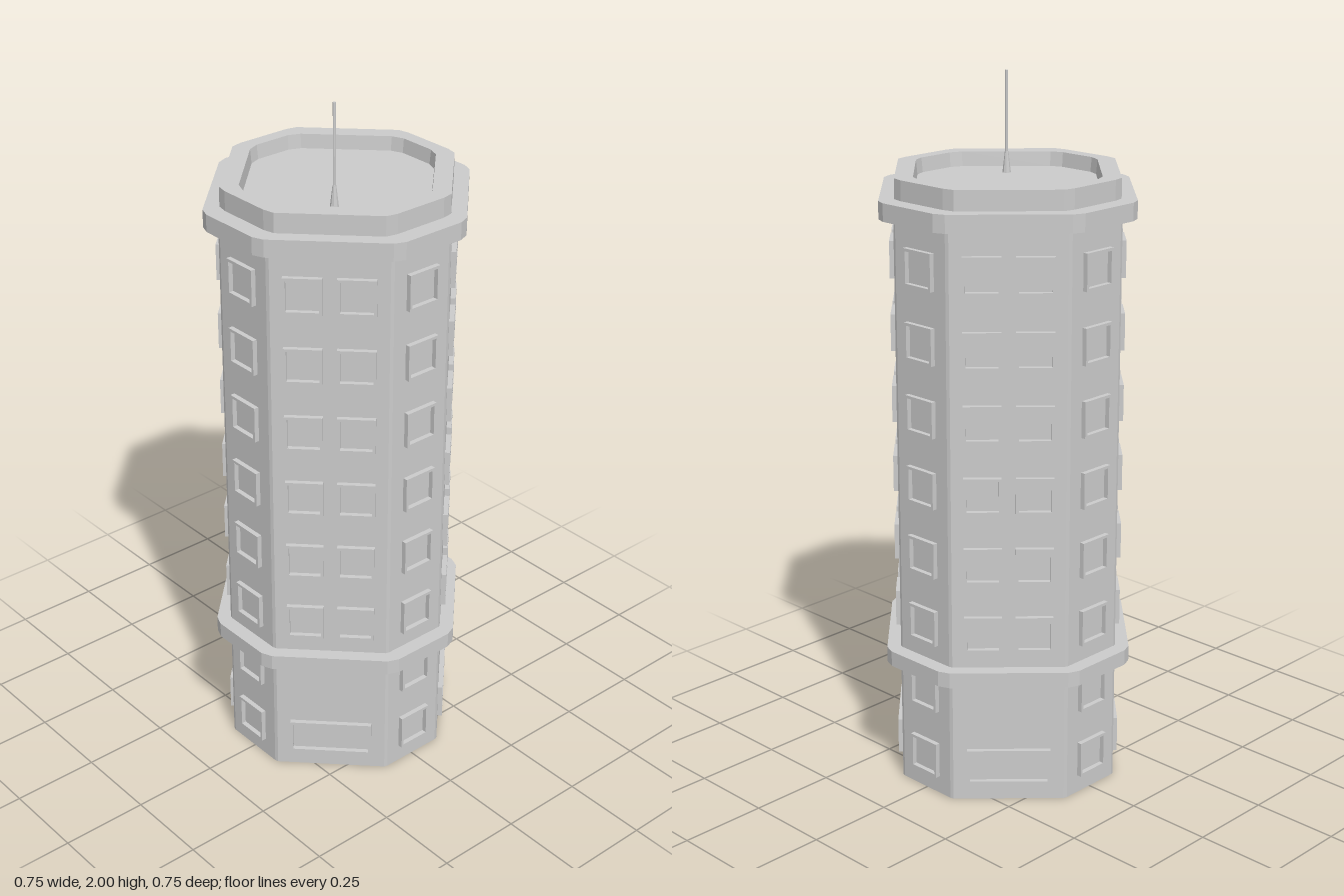
import * as THREE from 'three';

const material = new THREE.MeshStandardMaterial({ color: 0xcccccc, flatShading: true, side: THREE.DoubleSide });

// Octagon with clipped corners: flats at distance r (half width a), corner points (p, q)
function outline(r, a, p, q) {
  const points = [];
  let quarter = [[r, a], [p, q], [q, p], [a, r]];
  for (let i = 0; i < 4; i++) {
    points.push(...quarter);
    quarter = quarter.map(([x, z]) => [-z, x]);
  }
  return points;
}

// Joins outlines at given heights into a faceted skin
function loft(rings) {
  const positions = [];
  for (let i = 0; i + 1 < rings.length; i++) {
    const [lower, y0] = rings[i];
    const [upper, y1] = rings[i + 1];
    for (let j = 0; j < lower.length; j++) {
      const k = (j + 1) % lower.length;
      const a = [lower[j][0], y0, lower[j][1]], b = [upper[j][0], y1, upper[j][1]];
      const c = [upper[k][0], y1, upper[k][1]], d = [lower[k][0], y0, lower[k][1]];
      positions.push(...a, ...b, ...c, ...a, ...c, ...d);
    }
  }
  const geometry = new THREE.BufferGeometry();
  geometry.setAttribute('position', new THREE.Float32BufferAttribute(positions, 3));
  geometry.computeVertexNormals();
  return geometry;
}

// Rectangular window surround, extruded outwards along +z
function frameGeometry(width, height) {
  const bar = 0.008;
  const rectangle = (target, w, h) => {
    target.moveTo(-w / 2, -h / 2);
    target.lineTo(w / 2, -h / 2);
    target.lineTo(w / 2, h / 2);
    target.lineTo(-w / 2, h / 2);
    target.closePath();
    return target;
  };
  const shape = rectangle(new THREE.Shape(), width, height);
  shape.holes.push(rectangle(new THREE.Path(), width - 2 * bar, height - 2 * bar));
  return new THREE.ExtrudeGeometry(shape, { depth: 0.017, bevelEnabled: false }).translate(0, 0, -0.003);
}

export function createModel() {
  const model = new THREE.Group();
  const add = (name, geometry, parent = model) => {
    const mesh = new THREE.Mesh(geometry, material);
    mesh.name = name;
    parent.add(mesh);
    return mesh;
  };

  const wall = outline(0.33, 0.095, 0.327, 0.105);
  const ledge = outline(0.373, 0.095, 0.36, 0.127);
  const parapet = outline(0.322, 0.08, 0.315, 0.113);
  const parapetInner = outline(0.282, 0.055, 0.268, 0.089);
  const roofEdge = outline(0.278, 0.054, 0.264, 0.088);
  const centre = outline(0, 0, 0, 0);

  // Tower walls, open underneath
  add('walls', loft([[wall, 0], [wall, 1.65]]));
  // Projecting band above the ground storeys
  add('lowerLedge', loft([[wall, 0.365], [ledge, 0.365], [ledge, 0.41], [wall, 0.41]]));
  // Cornice, parapet and sunken roof in one stepped skin
  add('cornice', loft([[wall, 1.65], [ledge, 1.65], [ledge, 1.7], [parapet, 1.7]]));
  add('parapet', loft([[parapet, 1.7], [parapet, 1.756], [parapetInner, 1.756], [roofEdge, 1.715]]));
  add('roof', loft([[roofEdge, 1.715], [centre, 1.715]]));

  // Windows: one column on each flat, pairs on each diagonal
  const small = frameGeometry(0.104, 0.104);
  const wide = frameGeometry(0.236, 0.104);
  for (let side = 0; side < 8; side++) {
    const face = new THREE.Group();
    face.name = 'windowFace' + side;
    face.rotation.y = side * Math.PI / 4;
    model.add(face);
    const diagonal = side % 2 === 1;
    const distance = diagonal ? 0.432 / Math.SQRT2 : 0.33;
    for (let floor = 0; floor < 8; floor++) {
      const y = 0.105 + floor * 0.2036;
      if (!diagonal) {
        add('windowFrame', small, face).position.set(0, y, distance);
      } else if (floor === 0) {
        add('wideWindowFrame', wide, face).position.set(0, y, distance);
      } else if (floor > 1) {
        for (const x of [-0.071, 0.071]) add('windowFrame', small, face).position.set(x, y, distance);
      }
    }
  }

  // Roof antenna
  const antenna = new THREE.Group();
  antenna.name = 'antenna';
  antenna.position.set(-0.11, 0, 0.11);
  model.add(antenna);
  add('antennaBase', new THREE.CylinderGeometry(0.005, 0.012, 0.06, 8), antenna).position.y = 1.745;
  add('antennaPole', new THREE.CylinderGeometry(0.004, 0.004, 0.23, 8), antenna).position.y = 1.885;

  return model;
}
